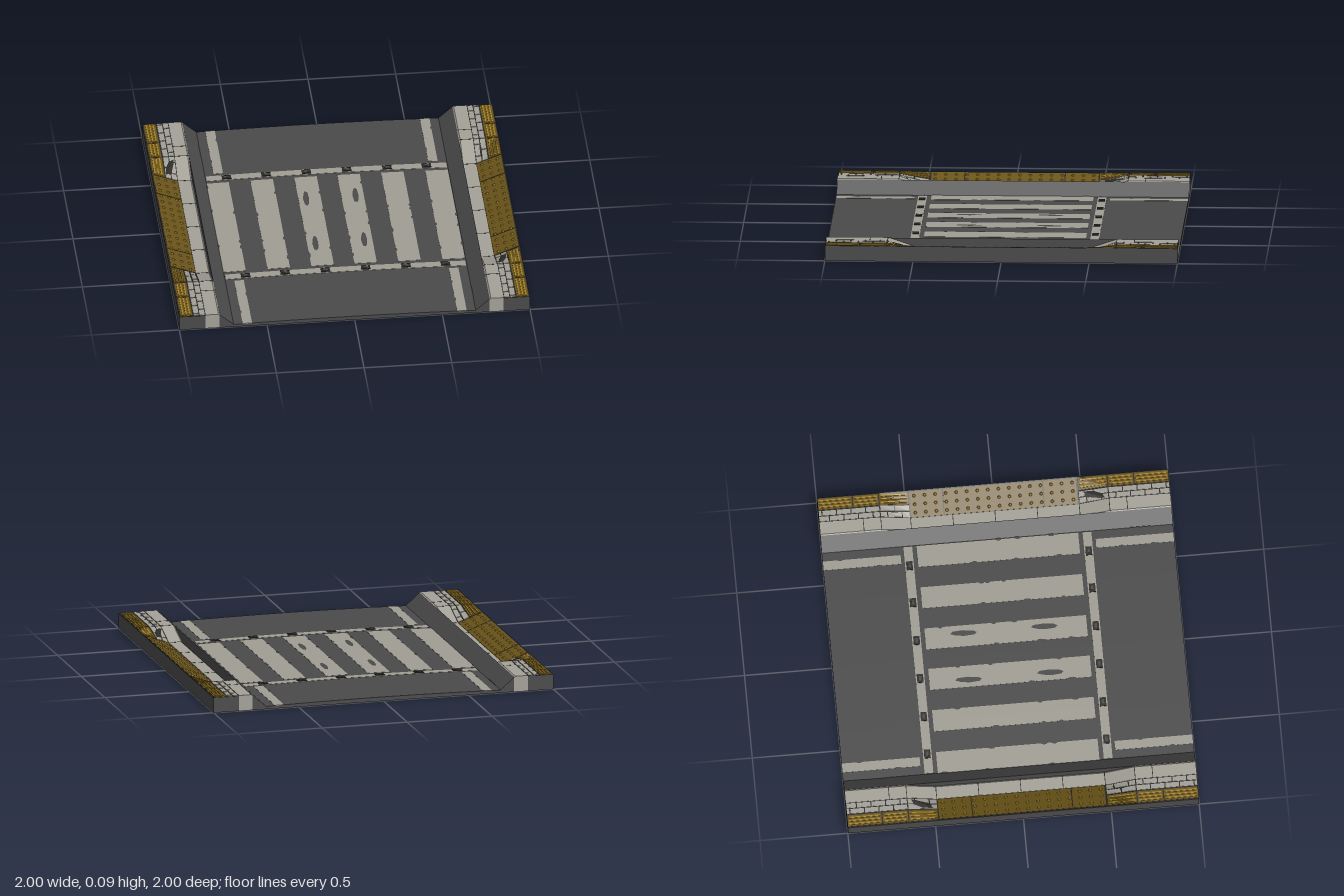
import * as THREE from 'three';
import { mergeGeometries } from 'three/addons/utils/BufferGeometryUtils.js';

const mat = (name, color) => Object.assign(new THREE.MeshStandardMaterial({ color }), { name });

// Height of the finished ground at any point
function height(x, z) {
  const a = Math.abs(x);
  const k = THREE.MathUtils.clamp((Math.abs(z) - 0.48) / 0.17, 0, 1); // 0 dropped, 1 full kerb
  if (a < 0.69) return 0.016 + 0.008 * (1 - (a / 0.69) ** 2);
  if (a < 0.7695) return 0.016;
  const inner = 0.03 + 0.057 * k;
  return inner + (0.087 - inner) * THREE.MathUtils.clamp((a - 0.85) / 0.15, 0, 1);
}

const flat = (g) => {
  const f = g.toNonIndexed();
  f.computeVertexNormals();
  return f;
};

// Slab that follows the ground; grounded slabs reach down to y = 0
function slab(x0, x1, z0, z1, lift, grounded = false) {
  const w = x1 - x0;
  const g = new THREE.BoxGeometry(w, 1, z1 - z0, Math.max(1, Math.ceil(w / 0.1)), 1, 1);
  g.translate((x0 + x1) / 2, 0, (z0 + z1) / 2);
  const p = g.attributes.position;
  const mid = (x0 + x1) / 2;
  for (let i = 0; i < p.count; i++) {
    const x = p.getX(i), z = p.getZ(i);
    const h = height(x + Math.sign(mid - x) * 1e-5, z);
    p.setY(i, p.getY(i) > 0 ? h + lift : grounded ? 0 : h - 0.003);
  }
  return flat(g);
}

// Kerb length with a chamfered road edge; grow makes the thin joint bands
function kerb(s, z0, z1, grow = 0) {
  const g = new THREE.BoxGeometry(0.08, 1, z1 - z0, 2, 1, 1);
  g.translate(0.81, 0, (z0 + z1) / 2);
  const p = g.attributes.position;
  for (let i = 0; i < p.count; i++) {
    let x = p.getX(i);
    const top = p.getY(i) > 0, edge = x < 0.78;
    const h = height(0.81, p.getZ(i)) + 0.004 + grow;
    if (x > 0.78 && x < 0.84) x = 0.777;
    p.setXYZ(i, s * (edge ? x - grow : x), top ? h - (edge ? 0.006 : 0) : 0, p.getZ(i));
  }
  if (s < 0) { // keep faces outward after mirroring
    const ix = g.index;
    for (let i = 0; i < ix.count; i += 3) {
      const t = ix.getX(i);
      ix.setX(i, ix.getX(i + 1));
      ix.setX(i + 1, t);
    }
  }
  return flat(g);
}

export function createModel() {
  const model = new THREE.Group();
  const asphalt = mat('asphalt', 0x4a4a4a);
  const paint = mat('road paint', 0xa09d93);
  const stone = mat('kerb stone', 0xa4a198);
  const brick = mat('paving brick', 0xa19f96);
  const joint = mat('dark joint', 0x2c2b28);
  const tile = mat('tactile tile', 0x6a5418);
  const bump = mat('tactile bump', 0xa68528);
  const add = (name, material, parts) => {
    const m = new THREE.Mesh(mergeGeometries(parts), material);
    m.name = name;
    model.add(m);
  };
  let seed = 7;
  const rand = () => (seed = (seed * 16807) % 2147483647) / 2147483647;
  const knots = [-1, -0.65, -0.48, 0, 0.48, 0.65, 1];
  const spans = knots.slice(1).map((z, i) => [knots[i], z]);

  // Crowned carriageway and flat gutters
  add('road', asphalt, [slab(-0.69, 0.69, -1, 1, 0, true)]);
  add('gutters', asphalt, [slab(-0.77, -0.69, -1, 1, 0, true), slab(0.69, 0.77, -1, 1, 0, true)]);

  // Crossing stripes, stop lines and edge lines
  const stripes = [-0.627, -0.375, -0.125, 0.12, 0.37, 0.622];
  add('crossingStripes', paint, stripes.map((x) => slab(x - 0.064, x + 0.064, -0.46, 0.46, 0.0012)));
  const lines = [], edges = [];
  for (const s of [-1, 1]) {
    lines.push(slab(-0.685, 0.685, s * 0.51 - 0.025, s * 0.51 + 0.025, 0.0012));
    for (const [a, b] of [[-1, -0.555], [0.555, 1]]) edges.push(slab(s * 0.612 - 0.027, s * 0.612 + 0.027, a, b, 0.0012));
  }
  add('stopLines', paint, lines);
  add('edgeLines', paint, edges);

  // Worn patches where the asphalt shows through
  const wear = [];
  const patch = (x, z, rx, rz) => {
    const g = new THREE.CircleGeometry(1, 8);
    g.rotateX(-Math.PI / 2);
    const p = g.attributes.position;
    for (let i = 0; i < p.count; i++) {
      const k = 0.8 + 0.3 * (i === p.count - 1 ? 0.5 : Math.abs(Math.sin(i * 2.3)));
      const px = x + p.getX(i) * rx * k, pz = z + p.getZ(i) * rz * k;
      p.setXYZ(i, px, height(px, pz) + 0.0022, pz);
    }
    wear.push(flat(g));
  };
  for (const [x, z] of [[-0.145, -0.235], [0.137, -0.24], [-0.142, 0.23], [0.137, 0.22]]) patch(x, z, 0.017, 0.08);
  for (const x of stripes) {
    for (const s of [-1, 1]) for (let i = 0; i < 3; i++) patch(x + s * 0.064, rand() * 0.84 - 0.42, 0.008, 0.012 + rand() * 0.012);
  }
  for (const s of [-1, 1]) for (const z of [-0.9, -0.68, 0.7, 0.88]) patch(s * 0.612 + (rand() > 0.5 ? 0.027 : -0.027), z, 0.006, 0.018);
  add('wornPatches', asphalt, wear);

  // Road studs on the stop lines
  const studs = [], lenses = [];
  for (const x of [-0.57, -0.345, -0.115, 0.115, 0.345, 0.57]) {
    for (const z of [-0.51, 0.51]) {
      studs.push(slab(x - 0.026, x + 0.026, z - 0.018, z + 0.018, 0.005));
      lenses.push(slab(x - 0.013, x + 0.013, z - 0.007, z + 0.007, 0.0065));
    }
  }
  add('roadStuds', joint, studs);
  add('studLenses', asphalt, lenses);

  // Everything mirrored on the two pavements
  const bed = [], bedTop = [], kerbs = [], joints = [], bricks = [], strips = [], ribs = [], tiles = [], domes = [];
  for (const s of [-1, 1]) {
    const side = (a, b, z0, z1, lift, grounded) => slab(Math.min(s * a, s * b), Math.max(s * a, s * b), z0, z1, lift, grounded);
    for (const [a, b] of spans) {
      bed.push(side(0.85, 1, a, b, 0, true));
      bedTop.push(side(0.85, 0.999, a, b, 0.001));
      kerbs.push(kerb(s, a, b));
    }
    for (const z of [-0.75, -0.65, -0.48, -0.24, 0, 0.24, 0.48, 0.65, 0.75]) joints.push(kerb(s, z - 0.002, z + 0.002, 0.0008));
    for (const z of [-0.5, -0.25, 0, 0.25, 0.5]) joints.push(side(0.69, 0.769, z - 0.003, z + 0.003, 0.001));

    // Drain cover outline in the gutter
    const d = s * 0.81;
    for (const e of [-1, 1]) {
      joints.push(side(0.692, 0.766, d + e * 0.059 - 0.003, d + e * 0.059 + 0.003, 0.002));
      joints.push(side(0.729 + e * 0.035 - 0.003, 0.729 + e * 0.035 + 0.003, d - 0.06, d + 0.06, 0.002));
    }

    for (const e of [-1, 1]) {
      const run = (a, b, z0, z1, lift) => side(a, b, Math.min(e * z0, e * z1), Math.max(e * z0, e * z1), lift);
      // Two staggered rows of bricks
      for (const [row, a, b] of [[0, 0.854, 0.883], [1, 0.888, 0.917]]) {
        const cuts = [0.48, 0.65, 1];
        for (let z = 0.525 + row * 0.04; z < 0.99; z += 0.083) if (Math.abs(z - 0.65) > 0.015) cuts.push(z);
        cuts.sort((p, q) => p - q);
        for (let i = 1; i < cuts.length; i++) bricks.push(run(a, b, cuts[i - 1] + 0.003, cuts[i] - 0.003, 0.004));
      }
      // Ribbed guide tiles
      for (const [a, b] of [[0.48, 0.65], [0.65, 0.8], [0.8, 1]]) {
        strips.push(run(0.925, 0.992, a + 0.004, b - 0.003, 0.003));
        for (const x of [0.94, 0.959, 0.978]) ribs.push(run(x - 0.004, x + 0.004, a + 0.012, b - 0.01, 0.007));
      }
    }

    // Domed tiles on the dropped section
    for (const [a, b] of [[-0.48, -0.287], [-0.287, 0.283], [0.283, 0.475]]) tiles.push(side(0.853, 0.991, a + 0.003, b - 0.003, 0.003));
    for (let i = 0; i < 16; i++) {
      for (const x of [0.877, 0.922, 0.967]) {
        const z = -0.45 + i * 0.06;
        const g = new THREE.CylinderGeometry(0.005, 0.01, 0.007, 8);
        g.rotateZ(s * 0.36);
        g.translate(s * x, height(x, z) + 0.006, z);
        domes.push(flat(g));
      }
    }
  }
  add('pavementBase', asphalt, bed);
  add('pavementBed', joint, bedTop);
  add('kerbs', stone, kerbs);
  add('jointsAndDrains', joint, joints);
  add('pavingBricks', brick, bricks);
  add('guideTiles', tile, strips);
  add('guideRibs', bump, ribs);
  add('domeTiles', tile, tiles);
  add('tileDomes', bump, domes);
  return model;
}
